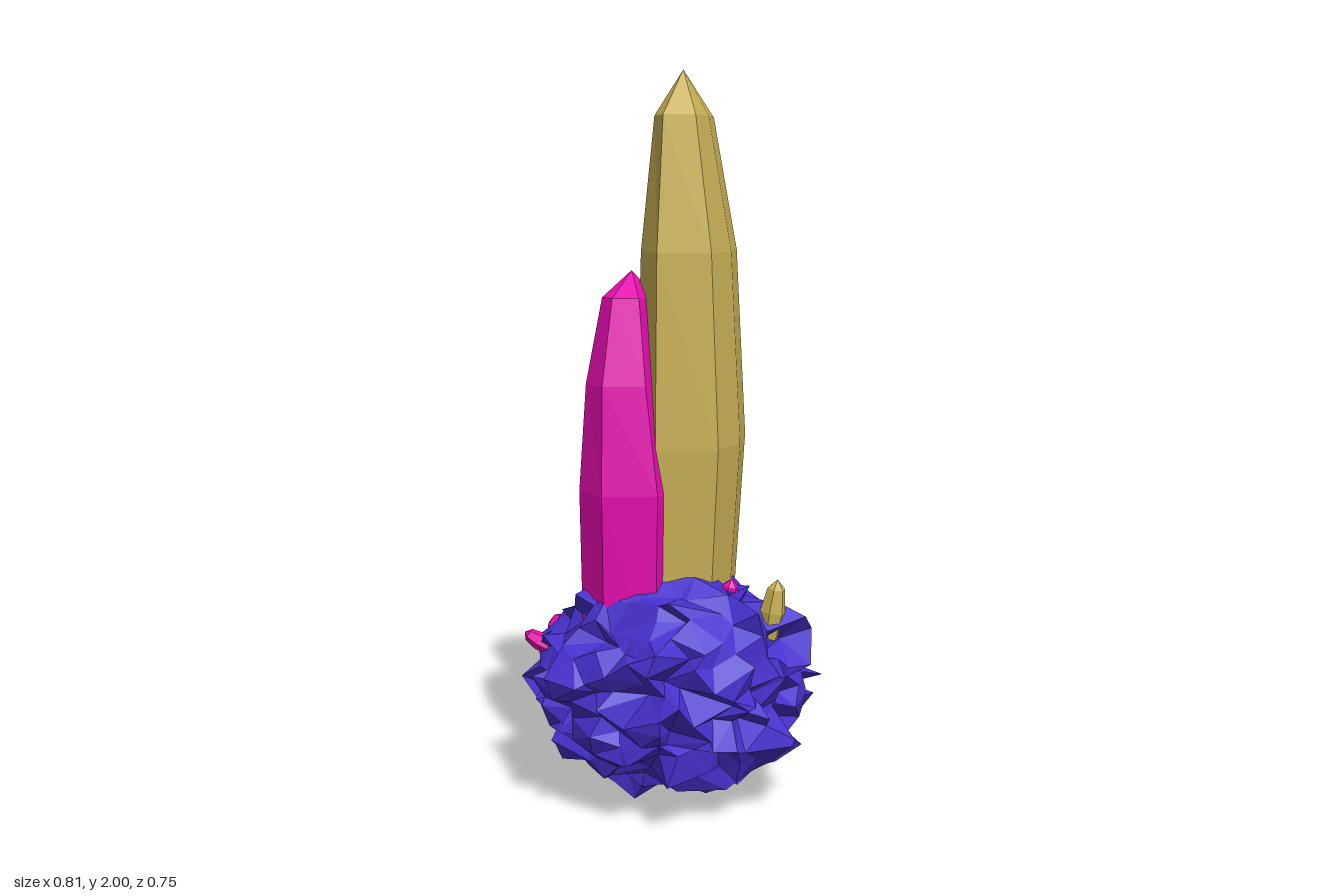
import * as THREE from 'three';
import { mergeVertices } from 'three/addons/utils/BufferGeometryUtils.js';

const material = (color) => new THREE.MeshStandardMaterial({ color, flatShading: true, side: THREE.DoubleSide });
const gold = material(0xcbb256);
const pink = material(0xe60cb0);
const blue = material(0x4630cc);

// Faceted shaft: an [x, z] outline scaled per ring [y, centreX, centreZ, scaleX, scaleZ], ending in a tip.
function crystalGeometry(outline, [ox, oz], rings, tip) {
  const loops = rings.map(([y, cx, cz, sx, sz]) =>
    outline.map(([x, z]) => [cx + (x - ox) * sx, y, cz + (z - oz) * sz]));
  const n = outline.length;
  const [baseY, baseX, baseZ] = rings[0];
  const positions = [];
  const triangle = (...corners) => corners.forEach((c) => positions.push(...c));
  for (let i = 0; i < n; i++) {
    const j = (i + 1) % n;
    for (let r = 0; r < loops.length - 1; r++) {
      const low = loops[r], high = loops[r + 1];
      triangle(low[i], high[i], high[j]);
      triangle(low[i], high[j], low[j]);
    }
    const first = loops[0], last = loops[loops.length - 1];
    triangle(last[i], tip, last[j]);
    triangle(first[i], first[j], [baseX, baseY, baseZ]);
  }
  const geometry = new THREE.BufferGeometry();
  geometry.setAttribute('position', new THREE.Float32BufferAttribute(positions, 3));
  geometry.computeVertexNormals();
  return geometry;
}

// Small six-sided shard from one point to another.
function shard(name, mat, from, to, radius) {
  const a = new THREE.Vector3(...from), b = new THREE.Vector3(...to);
  const length = a.distanceTo(b);
  const profile = [[0, 0], [0.75, 0], [1, 0.45], [0.7, 0.84], [0, 1]]
    .map(([r, t]) => new THREE.Vector2(r * radius, t * length));
  const mesh = new THREE.Mesh(new THREE.LatheGeometry(profile, 6), mat);
  mesh.name = name;
  mesh.position.copy(a);
  mesh.quaternion.setFromUnitVectors(new THREE.Vector3(0, 1, 0), b.sub(a).normalize());
  return mesh;
}

// Jagged rock: a sphere with every corner shifted by seeded noise.
function rockGeometry() {
  let seed = 11;
  const random = () => {
    seed = (seed * 16807) % 2147483647;
    return seed / 2147483647 - 0.5;
  };
  let geometry = new THREE.IcosahedronGeometry(1, 6);
  geometry.deleteAttribute('normal');
  geometry.deleteAttribute('uv');
  geometry = mergeVertices(geometry, 1e-3);
  const position = geometry.attributes.position;
  const v = new THREE.Vector3();
  for (let i = 0; i < position.count; i++) {
    v.fromBufferAttribute(position, i);
    // round in plan, flattened above and below
    const plan = Math.hypot(v.x, v.z);
    v.multiplyScalar(0.93 * Math.pow(plan ** 2.6 + Math.abs(v.y) ** 2.6, -1 / 2.6));
    // hump at the front of the top, sloping away at the back and undercut below it
    const top = Math.max(0, v.y), bottom = Math.max(0, -v.y);
    const hump = 0.17 * top * Math.exp(-5 * ((v.x - 0.2) ** 2 + (v.z - 0.3) ** 2));
    const backSlope = 0.55 * top * Math.max(0, -v.z - 0.15);
    const tuck = v.z < 0 ? 1 - 0.35 * bottom * bottom : 1;
    v.multiplyScalar(1 + 0.2 * random());
    position.setXYZ(i,
      THREE.MathUtils.clamp((v.x + 0.22 * random()) * 0.385 - 0.015, -0.43, 0.43),
      THREE.MathUtils.clamp(0.33 + (v.y + hump - backSlope + 0.14 * random()) * 0.3, 0.015, 0.65),
      THREE.MathUtils.clamp((v.z * tuck + 0.22 * random()) * 0.365 + 0.01, -0.39, 0.385));
  }
  geometry = geometry.toNonIndexed();
  geometry.computeVertexNormals();
  return geometry;
}

export function createModel() {
  const model = new THREE.Group();
  model.name = 'crystalCluster';
  const add = (name, geometry, mat) => {
    const mesh = new THREE.Mesh(geometry, mat);
    mesh.name = name;
    model.add(mesh);
  };

  add('rockBase', rockGeometry(), blue);

  // Tall crystal
  add('tallCrystal', crystalGeometry(
    [[0, -0.24], [0.13, -0.21], [0.165, -0.03], [0.145, 0.115], [-0.015, 0.165], [-0.105, 0.06], [-0.115, -0.12]],
    [0.025, -0.04],
    [[0.35, 0.018, -0.035, 0.76, 0.82], [1.0, 0.025, -0.04, 1, 1],
      [1.52, 0.018, -0.038, 0.85, 0.9], [1.88, 0.004, -0.03, 0.5, 0.6]],
    [0.01, 2, 0]), gold);

  // Shorter crystal beside it
  add('shortCrystal', crystalGeometry(
    [[-0.12, -0.14], [-0.01, -0.09], [0.015, 0.07], [0, 0.19], [-0.14, 0.24], [-0.23, 0.17], [-0.255, -0.02]],
    [-0.12, 0.05],
    [[0.35, -0.125, 0.05, 0.92, 0.87], [0.88, -0.12, 0.05, 1, 1],
      [1.17, -0.13, 0.055, 0.76, 0.85], [1.4, -0.127, 0.06, 0.47, 0.52]],
    [-0.12, 1.47, 0.05]), pink);

  // Small shards around the rock
  model.add(
    shard('topGoldShard', gold, [0.26, 0.47, 0.01], [0.285, 0.635, 0.01], 0.036),
    shard('topPinkShard', pink, [0.155, 0.53, 0.085], [0.18, 0.65, 0.1], 0.03),
    shard('sidePinkShard', pink, [-0.32, 0.4, -0.07], [-0.43, 0.43, -0.09], 0.052),
    shard('sideSmallPinkShard', pink, [-0.34, 0.41, 0.105], [-0.42, 0.455, 0.115], 0.026),
    shard('backGoldShard', gold, [-0.06, 0.27, -0.33], [0.01, 0.005, -0.21], 0.04),
    shard('lowerGoldShard', gold, [-0.24, 0.15, -0.15], [-0.09, 0.02, -0.13], 0.028),
  );

  return model;
}
